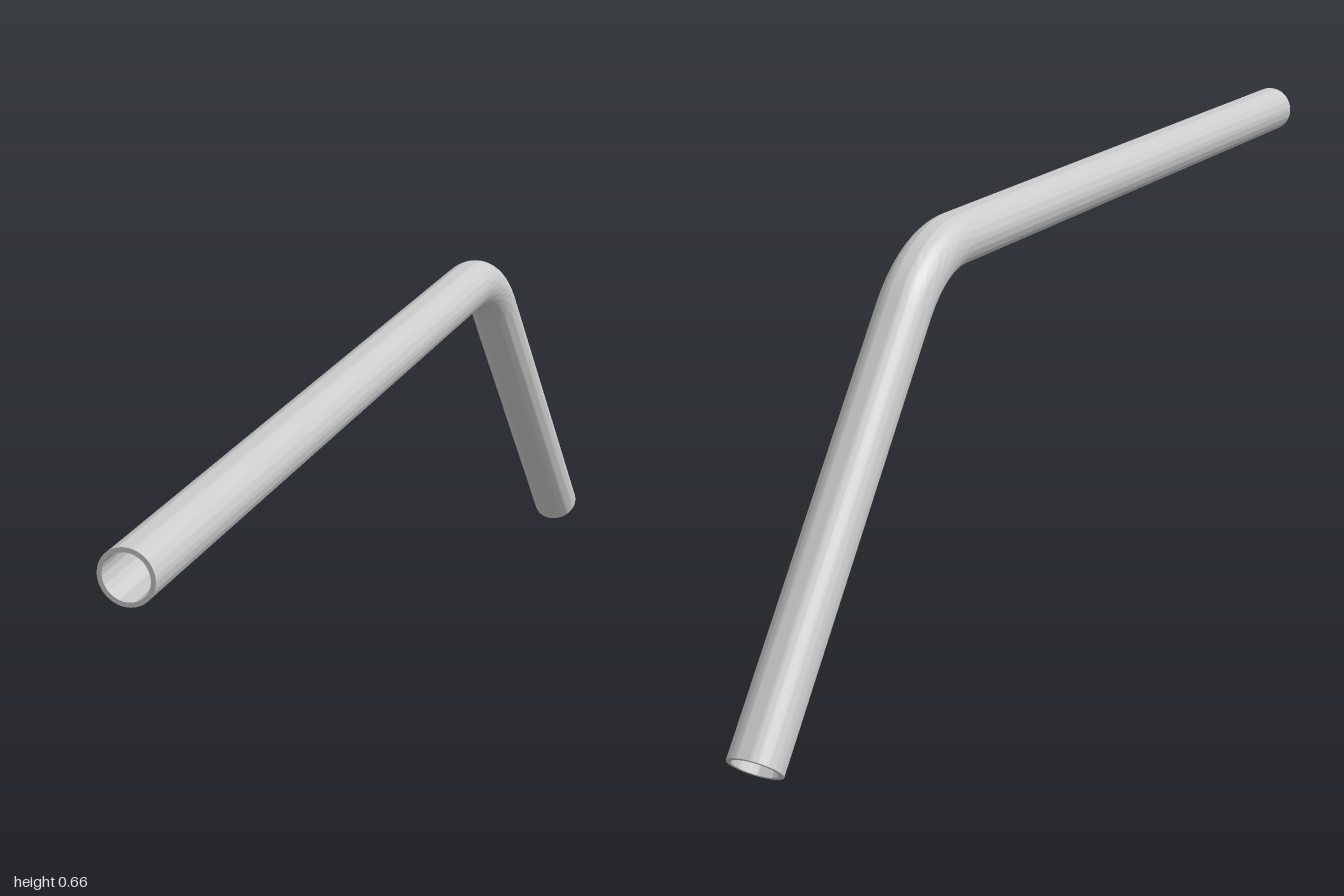
import * as THREE from 'three';
import { toCreasedNormals } from 'three/addons/utils/BufferGeometryUtils.js';

const OUTER = 0.04, INNER = 0.0333;        // pipe radii
const AXIS_Y = 0.623;                      // height of the level run
const BEND = THREE.MathUtils.degToRad(50); // bend angle
const BEND_R = 0.21;                       // centreline bend radius
const LEVEL = 1.37, SLOPE = 0.682;         // straight lengths
const ARC = BEND_R * BEND;

// Centreline position and pitch at distance s from the front end
function axisAt(s) {
  const a = THREE.MathUtils.clamp((s - LEVEL) / BEND_R, 0, BEND);
  const run = Math.max(0, s - LEVEL - ARC);
  return {
    a,
    y: AXIS_Y - BEND_R * (1 - Math.cos(a)) - run * Math.sin(a),
    z: 1 - Math.min(s, LEVEL) - BEND_R * Math.sin(a) - run * Math.cos(a),
  };
}

function bentPipeGeometry() {
  // Stations along the pipe, dense only in the bend
  const stations = [0];
  const steps = 16;
  for (let i = 0; i <= steps; i++) stations.push(LEVEL + (ARC * i) / steps);
  stations.push(LEVEL + ARC + SLOPE);

  // Closed wall profile: up the outside, down the bore
  const profile = stations.map((s) => new THREE.Vector2(OUTER, s));
  for (const s of [...stations].reverse()) profile.push(new THREE.Vector2(INNER, s));
  profile.push(profile[0].clone());

  // Straight pipe, then wrapped onto the bent centreline
  const geometry = new THREE.LatheGeometry(profile, 64);
  const p = geometry.attributes.position;
  for (let i = 0; i < p.count; i++) {
    const w = p.getZ(i);
    const { a, y, z } = axisAt(p.getY(i));
    p.setXYZ(i, p.getX(i), y + w * Math.cos(a), z - w * Math.sin(a));
  }
  return toCreasedNormals(geometry, 0.6);
}

export function createModel() {
  const group = new THREE.Group();
  group.name = 'bentTube';
  const pipe = new THREE.Mesh(
    bentPipeGeometry(),
    new THREE.MeshStandardMaterial({ color: 0xcccccc })
  );
  pipe.name = 'pipe';
  group.add(pipe);
  return group;
}
